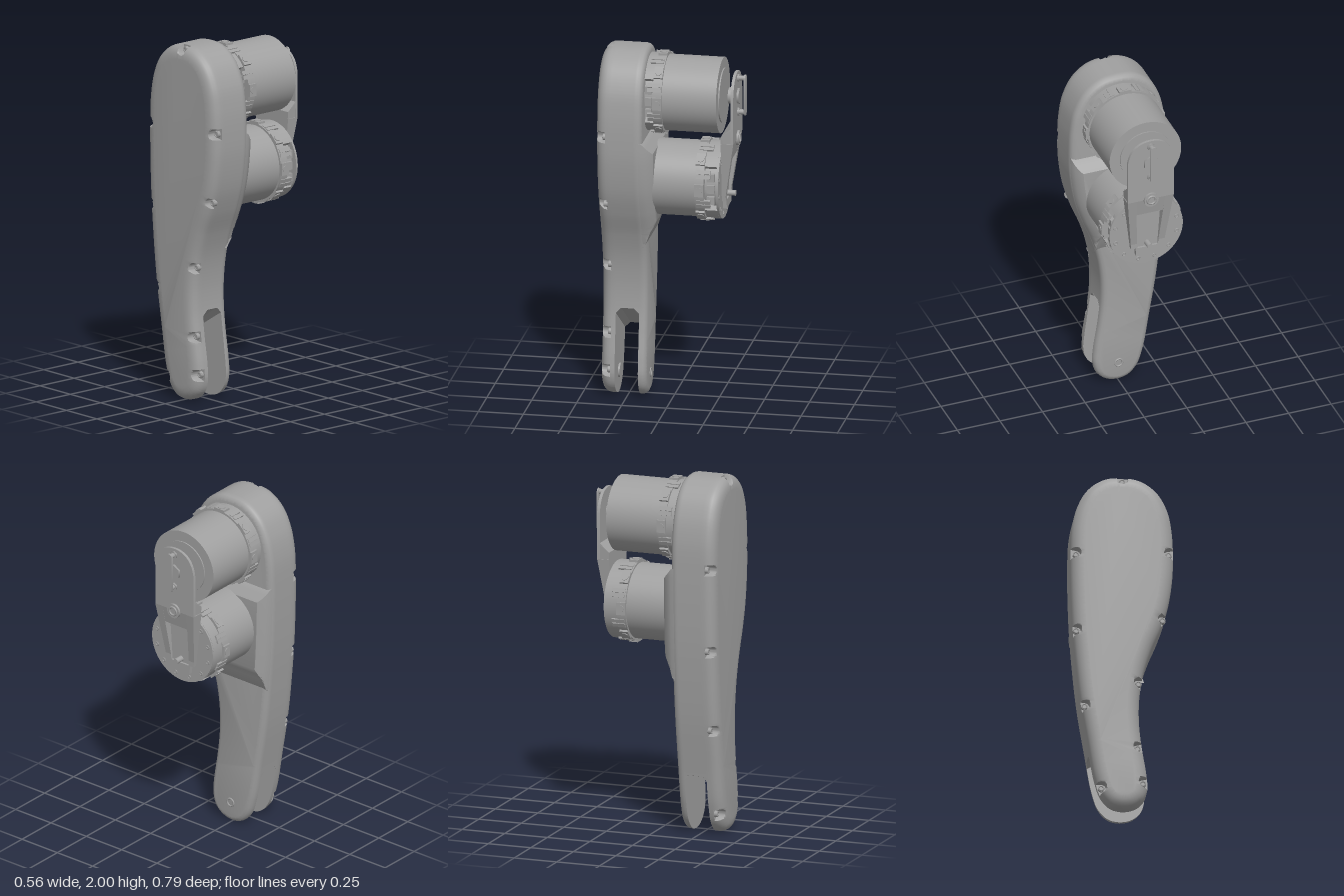
import * as THREE from 'three';
import { toCreasedNormals } from 'three/addons/utils/BufferGeometryUtils.js';

const grey = new THREE.MeshStandardMaterial({ color: 0xa0a0a0 });
grey.name = 'machine grey';

// Silhouette of the leg housing, clockwise from the top
const OUTLINE = [
  [0, 2], [0.1, 1.985], [0.19, 1.92], [0.25, 1.81], [0.275, 1.68], [0.281, 1.5], [0.275, 1.38],
  [0.25, 1.22], [0.21, 1.09], [0.155, 0.95], [0.115, 0.81], [0.095, 0.66], [0.095, 0.52],
  [0.11, 0.38], [0.135, 0.22], [0.14, 0.13], [0.118, 0.06], [0.067, 0.015], [0, 0], [-0.062, 0.015],
  [-0.115, 0.07], [-0.15, 0.17], [-0.19, 0.4], [-0.23, 0.65], [-0.255, 0.88], [-0.275, 1.15],
  [-0.283, 1.5], [-0.275, 1.69], [-0.245, 1.82], [-0.19, 1.92], [-0.1, 1.985]];
const SCREWS = [
  [0, 1.975], [-0.255, 1.525], [0.255, 1.545], [0.222, 1.15], [-0.253, 1.065],
  [0.09, 0.76], [-0.208, 0.61], [0.085, 0.37], [-0.115, 0.12], [0.115, 0.16]];
const NOTCH = 0.028;

const curve = new THREE.CatmullRomCurve3(
  OUTLINE.slice().reverse().map(([x, y]) => new THREE.Vector3(x, y, 0)), true);
const COUNT = 640;
const edge = curve.getSpacedPoints(COUNT).slice(0, COUNT).map((p, i) => {
  const t = curve.getTangentAt(i / COUNT);
  return { x: p.x, y: p.y, nx: t.y, ny: -t.x };
});

// One cross-section: the silhouette inset, with optional screw notches and a point rule
function ring({ z, inset = 0, notch = false, rule }) {
  return edge.map(({ x, y, nx, ny }) => {
    let p = new THREE.Vector3(x - nx * inset, y - ny * inset, z);
    if (notch) for (const [cx, cy] of SCREWS) {
      const dx = p.x - cx, dy = p.y - cy;
      const out = dx * nx + dy * ny, side = -dx * ny + dy * nx;
      if (Math.hypot(dx, dy) > 0.08 || Math.abs(side) >= NOTCH) continue;
      const a = Math.min(out, -Math.sqrt(NOTCH * NOTCH - side * side));
      p.set(cx + nx * a - ny * side, cy + ny * a + nx * side, z);
    }
    if (rule) rule(p);
    return p;
  });
}

// Skin the cross-sections from back to front and cap both ends
function loft(sections) {
  const rings = sections.map(ring), pos = [], idx = [];
  rings.forEach(r => r.forEach(p => pos.push(p.x, p.y, p.z)));
  for (let j = 0; j < rings.length - 1; j++) for (let i = 0; i < COUNT; i++) {
    const k = (i + 1) % COUNT, a = j * COUNT + i, b = j * COUNT + k;
    idx.push(a, b, b + COUNT, a, b + COUNT, a + COUNT);
  }
  const cap = (j, flip) => {
    const flat = rings[j].map(p => new THREE.Vector2(p.x, p.y));
    for (const [a, b, c] of THREE.ShapeUtils.triangulateShape(flat, [])) {
      const o = j * COUNT;
      idx.push(o + a, o + (flip ? c : b), o + (flip ? b : c));
    }
  };
  cap(0, true);
  cap(rings.length - 1, false);
  const g = new THREE.BufferGeometry();
  g.setAttribute('position', new THREE.Float32BufferAttribute(pos, 3));
  g.setIndex(idx);
  return toCreasedNormals(g, 0.6);
}

function add(parent, name, geometry, x = 0, y = 0, z = 0) {
  const m = new THREE.Mesh(geometry, grey);
  m.name = name;
  m.position.set(x, y, z);
  parent.add(m);
  return m;
}

// Cylinder along z between two depths
function disc(parent, name, r, z0, z1, x = 0, y = 0, sides = 64) {
  const g = new THREE.CylinderGeometry(r, r, Math.abs(z1 - z0), sides).rotateX(Math.PI / 2);
  return add(parent, name, g, x, y, (z0 + z1) / 2);
}

function extrude(shape, depth) {
  return toCreasedNormals(new THREE.ExtrudeGeometry(shape, { depth, bevelEnabled: false, curveSegments: 32 }), 0.5);
}

// Actuator collar: solid band, band with a connector window on +x, radial screw tabs
function collar(parent, y, zBand, zSplit, zEnd) {
  const g = new THREE.Group();
  g.name = 'actuatorCollar';
  g.position.y = y;
  parent.add(g);
  disc(g, 'collarBand', 0.222, zBand, zSplit);
  const s = new THREE.Shape(), w = 0.62;
  s.absarc(0, 0, 0.216, w, Math.PI * 2 - w, false);
  s.absarc(0, 0, 0.18, -w, w, false);
  add(g, 'windowedBand', extrude(s, Math.abs(zEnd - zSplit)), 0, 0, Math.min(zSplit, zEnd));
  const mid = (zBand + zSplit) / 2, wide = Math.abs(zSplit - zBand);
  const low = (zSplit + zEnd) / 2, lowWide = Math.abs(zEnd - zSplit);
  for (let i = 0; i < 8; i++) {
    const spoke = new THREE.Group();
    spoke.name = 'collarTab';
    spoke.rotation.z = i * Math.PI / 4;
    g.add(spoke);
    add(spoke, 'tab', new THREE.BoxGeometry(0.03, 0.07, wide), 0.216, 0, mid);
    add(spoke, 'radialScrew', new THREE.CylinderGeometry(0.02, 0.02, 0.01, 16).rotateZ(Math.PI / 2), 0.23, 0, mid);
    // Ribs between the tabs
    for (const a of [0.34, 0.46]) {
      const rib = add(spoke, 'rib', new THREE.BoxGeometry(0.016, 0.022, wide + lowWide * 0.4),
        0.218 * Math.cos(a), 0.218 * Math.sin(a), mid + (low - mid) * 0.35);
      rib.rotation.z = a;
    }
  }
  // Connectors inside the window
  for (const dy of [-0.065, 0, 0.065])
    add(g, 'connector', new THREE.BoxGeometry(0.025, 0.045, lowWide * 0.6), 0.185, dy, low);
}

function buildArm(parent) {
  const arm = new THREE.Group();
  arm.name = 'crankArm';
  parent.add(arm);
  // Flat upper plate with a rounded top
  const s = new THREE.Shape();
  s.moveTo(-0.135, 1.5);
  s.lineTo(0.135, 1.5);
  s.lineTo(0.135, 1.75);
  s.bezierCurveTo(0.125, 1.83, 0.08, 1.88, 0, 1.88);
  s.bezierCurveTo(-0.08, 1.88, -0.125, 1.83, -0.135, 1.75);
  add(arm, 'armPlate', extrude(s, 0.016), 0, 0, -0.35);

  // Slabs with a side profile of [z, y], narrowing towards the foot
  const slab = (name, x0, x1, profile) => {
    const sh = new THREE.Shape(profile.map(([z, y]) => new THREE.Vector2(-z, y)));
    const g = new THREE.ExtrudeGeometry(sh, { depth: x1 - x0, bevelEnabled: false });
    g.rotateY(Math.PI / 2).translate(x0, 0, 0);
    const p = g.attributes.position;
    for (let i = 0; i < p.count; i++)
      p.setX(i, p.getX(i) * THREE.MathUtils.mapLinear(Math.min(p.getY(i), 1.5), 1.12, 1.5, 0.68, 1));
    g.computeVertexNormals();
    add(arm, name, g);
  };
  slab('armShoulder', -0.135, 0.135,
    [[-0.28, 1.4], [-0.28, 1.54], [-0.334, 1.59], [-0.35, 1.59], [-0.35, 1.5], [-0.333, 1.4]]);
  for (const [a, b] of [[-0.135, -0.085], [0.085, 0.135]])
    slab('armRail', a, b, [[-0.28, 1.16], [-0.28, 1.5], [-0.35, 1.5], [-0.302, 1.19], [-0.302, 1.16]]);
  slab('armFloor', -0.1, 0.1, [[-0.278, 1.12], [-0.278, 1.42], [-0.29, 1.42], [-0.29, 1.12]]);
  slab('armFoot', -0.1, 0.1, [[-0.278, 1.11], [-0.278, 1.16], [-0.302, 1.16], [-0.302, 1.11]]);
  disc(arm, 'footBolt', 0.016, -0.28, -0.34, 0, 1.18, 16);
  disc(arm, 'middleBoss', 0.042, -0.34, -0.362, 0, 1.5, 32);
  add(arm, 'middleBoltRim', new THREE.TorusGeometry(0.024, 0.006, 8, 24), 0, 1.5, -0.362);

  // Guide bar on two posts, with its clamping nut
  const bar = new THREE.Shape();
  bar.absarc(0, 1.845, 0.02, 0, Math.PI, false);
  bar.absarc(0, 1.65, 0.02, Math.PI, Math.PI * 2, false);
  add(arm, 'guideBar', extrude(bar, 0.01), 0, 0, -0.397);
  for (const y of [1.65, 1.845]) {
    disc(arm, 'guidePost', 0.014, -0.345, -0.39, 0, y, 16);
    disc(arm, 'guideNut', 0.022, -0.345, -0.36, 0, y, 6);
  }
  disc(arm, 'clampNut', 0.045, -0.345, -0.362, 0, 1.74, 6);
  disc(arm, 'innerBoss', 0.045, -0.302, -0.336, 0, 1.74, 32);
}

export function createModel() {
  const model = new THREE.Group();
  model.name = 'robotLeg';

  // Leg housing with a slanted, chamfered fork slot at the foot
  const slot = drop => p => {
    const x = THREE.MathUtils.clamp(p.x, -0.18, 0.1);
    const line = THREE.MathUtils.mapLinear(x, -0.17, 0.1, 0.345, 0.512) - drop;
    if (p.y < line) { p.x = x; p.y = line; }
  };
  add(model, 'legHousing', loft([
    { z: 0.135, inset: 0.03 }, { z: 0.142, inset: 0.014 }, { z: 0.153, inset: 0.004 }, { z: 0.17 }, { z: 0.18 },
    { z: 0.18, rule: slot(0.03) }, { z: 0.21, rule: slot(0) },
    { z: 0.28, rule: slot(0) }, { z: 0.31, rule: slot(0.03) },
    { z: 0.31 }, { z: 0.335 }, { z: 0.335, notch: true },
    { z: 0.352, inset: 0.003, notch: true }, { z: 0.367, inset: 0.011, notch: true },
    { z: 0.38, inset: 0.025, notch: true }, { z: 0.388, inset: 0.045, notch: true },
    { z: 0.392, inset: 0.07, notch: true }]));

  // Raised saddle that carries the lower actuator
  const band = (lo, hi) => p => { p.y = THREE.MathUtils.clamp(p.y, lo, hi); };
  add(model, 'actuatorSaddle', loft([
    { z: 0.175, inset: 0.001, rule: band(0.85, 1.53) }, { z: 0.135, inset: 0.006, rule: band(0.9, 1.515) },
    { z: 0.115, inset: 0.018, rule: band(0.96, 1.49) }, { z: 0.092, inset: 0.036, rule: band(1.0, 1.465) },
    { z: 0.08, inset: 0.052, rule: band(1.03, 1.45) }].reverse()));

  for (const [x, y] of SCREWS) {
    disc(model, 'coverScrew', 0.018, 0.33, 0.35, x, y, 20);
    add(model, 'coverScrewRim', new THREE.TorusGeometry(0.013, 0.004, 6, 20), x, y, 0.35);
  }
  // Ankle pivot in both fork prongs
  add(model, 'anklePivotRim', new THREE.TorusGeometry(0.022, 0.005, 8, 24), 0, 0.12, 0.135);
  disc(model, 'anklePivotBoss', 0.04, 0.3, 0.312, 0, 0.12, 32);

  // Upper actuator
  disc(model, 'upperActuator', 0.21, 0.06, -0.268, 0, 1.74, 96);
  disc(model, 'upperEndCap', 0.15, -0.26, -0.275, 0, 1.74);
  collar(model, 1.74, 0.035, 0.085, 0.14);

  // Lower actuator
  disc(model, 'lowerActuator', 0.21, 0.13, -0.17, 0, 1.255, 96);
  collar(model, 1.255, -0.15, -0.2, -0.27);
  disc(model, 'lowerEndCap', 0.215, -0.268, -0.28, 0, 1.255, 96);
  for (let i = 0; i < 12; i++) {
    const a = i * Math.PI / 6 + Math.PI / 12;
    add(model, 'endCapBolt', new THREE.TorusGeometry(0.01, 0.003, 6, 16),
      0.185 * Math.cos(a), 1.255 + 0.185 * Math.sin(a), -0.28);
  }

  buildArm(model);
  return model;
}
